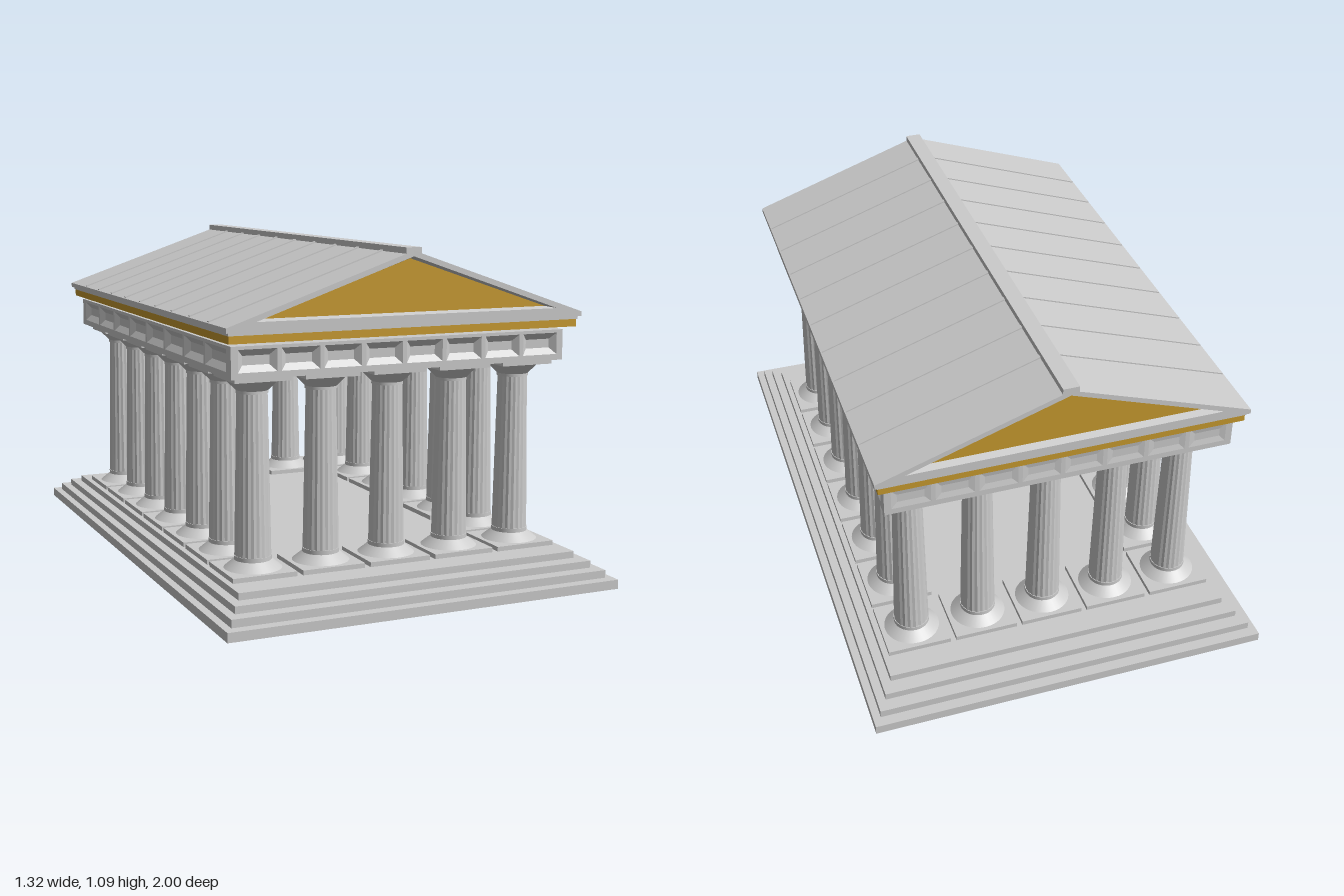
import * as THREE from 'three';

const stone = new THREE.MeshStandardMaterial({ color: 0xcccccc, flatShading: true });
const smoothStone = new THREE.MeshStandardMaterial({ color: 0xcccccc });
const gold = new THREE.MeshStandardMaterial({ color: 0xc79a2e, flatShading: true });

function add(parent, name, geometry, material = stone, x = 0, y = 0, z = 0) {
  const mesh = new THREE.Mesh(geometry, material);
  mesh.name = name;
  mesh.position.set(x, y, z);
  parent.add(mesh);
  return mesh;
}

// Box given by its half width, bottom, top and half depth
function slab(parent, name, hx, y0, y1, hz, material = stone, x = 0, z = 0) {
  return add(parent, name, new THREE.BoxGeometry(hx * 2, y1 - y0, hz * 2), material, x, (y0 + y1) / 2, z);
}

const toVectors = (points) => points.map(([x, y]) => new THREE.Vector2(x, y));
const rectangle = (x, y, hw, hh) => [[x - hw, y - hh], [x + hw, y - hh], [x + hw, y + hh], [x - hw, y + hh]];

// Sloping sides between an outer outline and a deeper inner one, both counter-clockwise
function bevelSides(outer, inner, depth) {
  const positions = [];
  outer.forEach((a, i) => {
    const j = (i + 1) % outer.length;
    const p = [...a, 0], q = [...outer[j], 0], r = [...inner[j], -depth], s = [...inner[i], -depth];
    positions.push(...p, ...q, ...r, ...p, ...r, ...s);
  });
  const geometry = new THREE.BufferGeometry();
  geometry.setAttribute('position', new THREE.Float32BufferAttribute(positions, 3));
  geometry.computeVertexNormals();
  return geometry;
}

function recess(parent, name, outer, inner, depth, floorMaterial) {
  add(parent, name + 'Sides', bevelSides(outer, inner, depth));
  add(parent, name + 'Floor', new THREE.ShapeGeometry(new THREE.Shape(toVectors(inner))), floorMaterial, 0, 0, -depth);
}

function plateWithHoles(outline, holes, depth) {
  const shape = new THREE.Shape(toVectors(outline));
  holes.forEach((h) => shape.holes.push(new THREE.Path(toVectors(h).reverse())));
  return new THREE.ExtrudeGeometry(shape, { depth, bevelEnabled: false });
}

// Shaft with shallow V-shaped flutes
function flutedShaft() {
  const geometry = new THREE.CylinderGeometry(0.047, 0.057, 0.53, 40, 1, true);
  const p = geometry.attributes.position;
  for (let i = 0; i < p.count; i++) {
    const k = (i % 41) % 2 ? 0.965 : 1;
    p.setXYZ(i, p.getX(i) * k, p.getY(i), p.getZ(i) * k);
  }
  geometry.computeVertexNormals();
  return geometry;
}

const shaftGeometry = flutedShaft();
const baseGeometry = new THREE.CylinderGeometry(0.058, 0.09, 0.026, 32);
const capitalGeometry = new THREE.CylinderGeometry(0.084, 0.05, 0.034, 32);
const collarGeometry = new THREE.CylinderGeometry(0.05, 0.05, 0.012, 32);
const footGeometry = new THREE.CylinderGeometry(0.058, 0.058, 0.014, 32);

function column(x, z) {
  const g = new THREE.Group();
  g.name = 'column';
  g.position.set(x, 0, z);
  slab(g, 'plinth', 0.104, 0.1, 0.115, 0.104);
  add(g, 'columnBase', baseGeometry, smoothStone, 0, 0.128);
  add(g, 'shaftFoot', footGeometry, smoothStone, 0, 0.147);
  add(g, 'shaft', shaftGeometry, stone, 0, 0.405);
  add(g, 'collar', collarGeometry, smoothStone, 0, 0.66);
  add(g, 'capital', capitalGeometry, smoothStone, 0, 0.68);
  slab(g, 'abacus', 0.09, 0.697, 0.715, 0.09);
  return g;
}

const THICK = 0.018;

// Frieze face with a row of sunken panels, facing local +z
function friezeFace(length, count, depth) {
  const g = new THREE.Group();
  g.name = 'friezeFace';
  const pitch = (length - 0.03) / count;
  const openings = [];
  for (let i = 0; i < count; i++) {
    const x = (i - (count - 1) / 2) * pitch;
    const opening = rectangle(x, 0.768, pitch / 2 - 0.007, 0.034);
    openings.push(opening);
    recess(g, 'panel', opening, rectangle(x, 0.768, pitch / 2 - 0.026, 0.014), depth, stone);
  }
  add(g, 'friezeFrame', plateWithHoles(rectangle(0, 0.7635, length / 2, 0.0485), openings, THICK), stone, 0, 0, -THICK);
  return g;
}

export function createModel() {
  const model = new THREE.Group();
  model.name = 'temple';

  // Stepped platform
  [[0.66, 1, 0, 0.03], [0.635, 0.965, 0.03, 0.055], [0.607, 0.922, 0.055, 0.078], [0.577, 0.872, 0.078, 0.1]]
    .forEach(([hx, hz, y0, y1]) => slab(model, 'step', hx, y0, y1, hz));

  // Columns around the edge, five by seven
  for (let i = 0; i < 5; i++) {
    for (let j = 0; j < 7; j++) {
      if (i % 4 && j % 6) continue;
      model.add(column((i - 2) * 0.227, (j - 3) * 0.2263 - 0.004));
    }
  }

  // Entablature: ring of beams faced with panelled friezes
  const top = new THREE.Group();
  top.name = 'entablature';
  top.position.x = -0.008;
  model.add(top);
  const hx = 0.563, hz = 0.807, beam = 0.1;
  for (const s of [-1, 1]) {
    slab(top, 'endBeam', hx - THICK, 0.715, 0.812, beam, stone, 0, s * (hz - THICK - beam));
    slab(top, 'sideBeam', beam, 0.715, 0.812, hz - THICK - 2 * beam, stone, s * (hx - THICK - beam));
    const end = friezeFace(hx * 2, 8, s > 0 ? 0.016 : 0.004);
    end.position.z = s * hz;
    end.rotation.y = s > 0 ? 0 : Math.PI;
    const side = friezeFace((hz - THICK) * 2, 8, 0.016);
    side.position.x = s * hx;
    side.rotation.y = s * Math.PI / 2;
    top.add(end, side);
  }

  // Cornice
  const roof = new THREE.Group();
  roof.name = 'roof';
  roof.position.set(-0.007, 0, 0.004);
  model.add(roof);
  slab(roof, 'cornice', 0.585, 0.824, 0.848, 0.841, gold);
  slab(roof, 'corniceTop', 0.588, 0.848, 0.857, 0.845);

  // Gabled roof with a sunken triangle at each end
  const W = 0.597, eave = 0.872, apex = 1.077, L = 0.853;
  const outline = [[-W, 0.857], [W, 0.857], [W, eave], [0, apex], [-W, eave]];
  const opening = [[-0.505, 0.886], [0.505, 0.886], [0, 1.06]];
  const field = [[-0.475, 0.892], [0.475, 0.892], [0, 1.053]];
  add(roof, 'gableRoof', plateWithHoles(outline, [opening], L * 2), stone, 0, 0, -L);
  for (const s of [-1, 1]) {
    const gable = new THREE.Group();
    gable.name = 'gable';
    gable.position.z = s * L;
    gable.rotation.y = s > 0 ? 0 : Math.PI;
    recess(gable, 'gable', opening, field, 0.025, gold);
    roof.add(gable);
  }

  // Ridge cap and narrow ribs down both slopes
  slab(roof, 'ridgeCap', 0.026, 1.066, 1.087, L);
  const slope = Math.atan2(apex - eave, W);
  const ribGeometry = new THREE.BoxGeometry(Math.hypot(W, apex - eave) - 0.01, 0.008, 0.014);
  for (let i = -4; i <= 4; i++) {
    for (const s of [-1, 1]) {
      const rib = add(roof, 'roofRib', ribGeometry, stone, s * W / 2, (eave + apex) / 2, i * 0.168 + 0.02);
      rib.rotation.z = -s * slope;
    }
  }
  return model;
}
